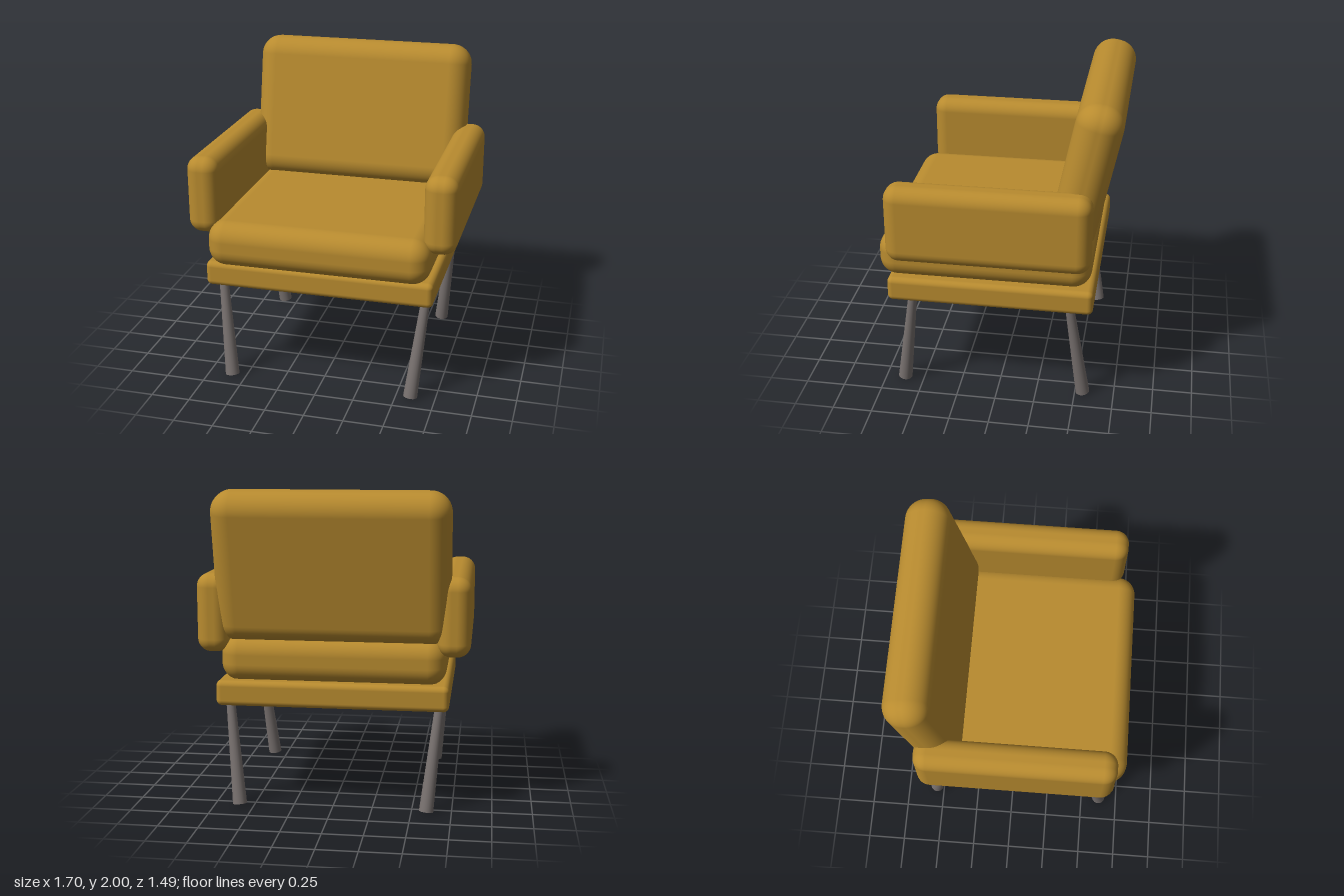
import * as THREE from 'three';
import { RoundedBoxGeometry } from 'three/addons/geometries/RoundedBoxGeometry.js';

export function createModel() {
  const chair = new THREE.Group();
  chair.name = 'armchair';

  const fabric = new THREE.MeshStandardMaterial({ color: 0xb88b2f });
  fabric.name = 'mustard fabric';
  const metal = new THREE.MeshStandardMaterial({ color: 0x78716f });
  metal.name = 'grey metal';

  // Soft-edged block given by its size, centre and edge radius
  function cushion(name, [w, h, d], [x, y, z], radius) {
    const mesh = new THREE.Mesh(new RoundedBoxGeometry(w, h, d, 6, radius), fabric);
    mesh.name = name;
    mesh.position.set(x, y, z);
    chair.add(mesh);
    return mesh;
  }

  // Round leg, wider at the foot, running between two points
  function leg(name, foot, top) {
    const axis = top.clone().sub(foot);
    const mesh = new THREE.Mesh(new THREE.CylinderGeometry(0.027, 0.045, axis.length(), 20), metal);
    mesh.name = name;
    mesh.position.copy(foot).add(top).multiplyScalar(0.5);
    mesh.quaternion.setFromUnitVectors(new THREE.Vector3(0, 1, 0), axis.normalize());
    chair.add(mesh);
  }

  cushion('base', [1.45, 0.16, 1.29], [0, 0.735, 0.04], 0.035);
  cushion('seat', [1.41, 0.29, 1.33], [0, 0.945, 0.08], 0.115);

  // Backrest leans backwards
  const back = cushion('backrest', [1.455, 0.957, 0.285], [0, 1.526, -0.528], 0.13);
  back.rotation.x = -0.205;

  // Arms and splayed legs, mirrored left and right
  for (const [side, s] of [['left', 1], ['right', -1]]) {
    cushion(side + 'Arm', [0.205, 0.495, 1.25], [s * 0.7475, 1.2325, 0.035], 0.085);
    leg(side + 'FrontLeg', new THREE.Vector3(s * 0.593, 0.008, 0.625), new THREE.Vector3(s * 0.666, 0.7, 0.53));
    leg(side + 'BackLeg', new THREE.Vector3(s * 0.593, 0.008, -0.55), new THREE.Vector3(s * 0.666, 0.7, -0.455));
  }

  return chair;
}
